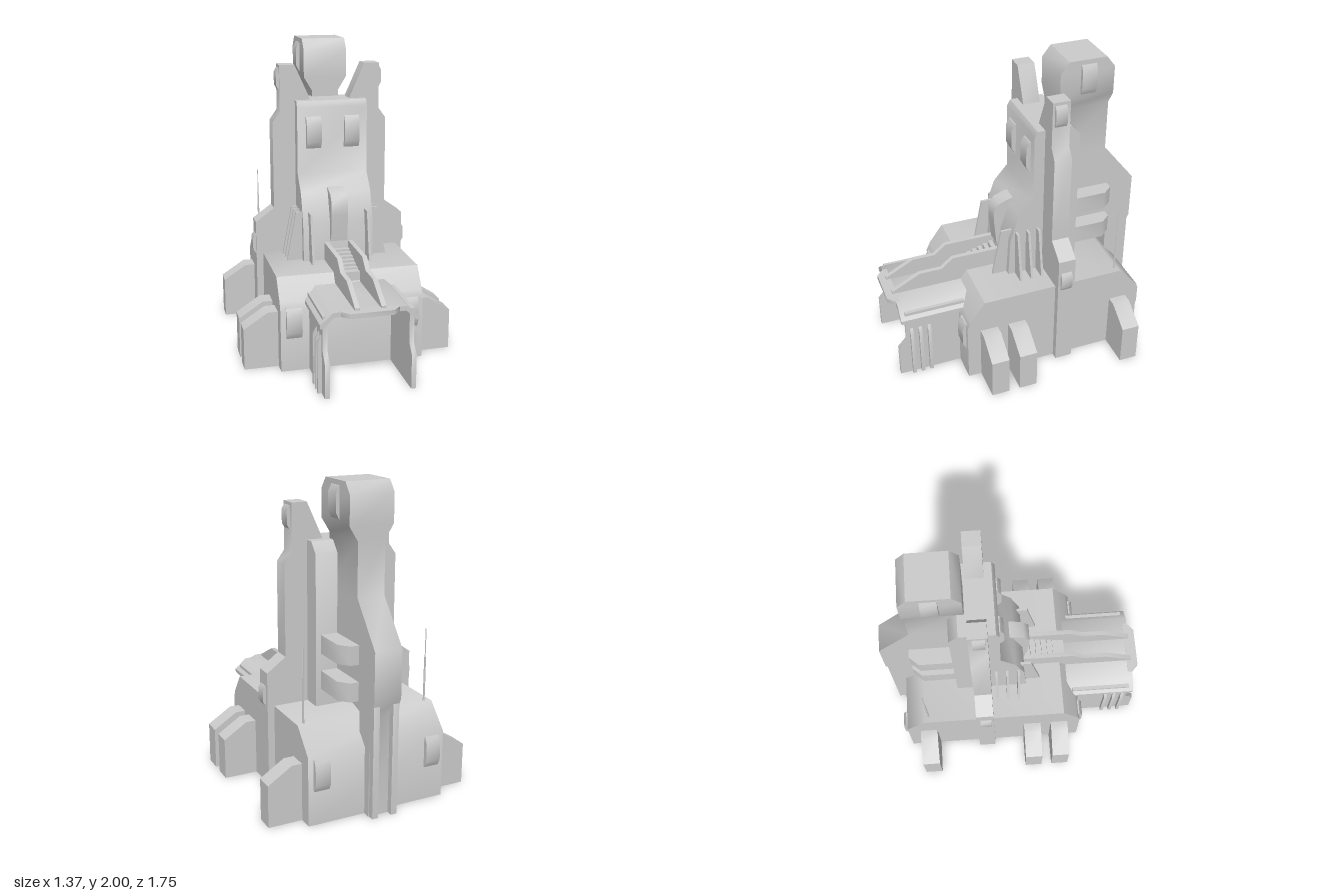
import * as THREE from 'three';
import { toCreasedNormals } from 'three/addons/utils/BufferGeometryUtils.js';

const grey = new THREE.MeshStandardMaterial({ color: 0xcccccc, side: THREE.DoubleSide });

export function createModel() {
  const model = new THREE.Group();

  const add = (name, geo) => {
    const mesh = new THREE.Mesh(toCreasedNormals(geo, 0.85), grey);
    mesh.name = name;
    model.add(mesh);
    return mesh;
  };
  const extrude = (pts, depth) => {
    const shape = new THREE.Shape(pts.map(([a, b]) => new THREE.Vector2(a, b)));
    return new THREE.ExtrudeGeometry(shape, { depth, bevelEnabled: false }).translate(0, 0, -depth / 2);
  };
  // (z, y) profile extruded across x
  const acrossX = (name, pts, x, width) => add(name, extrude(pts, width).rotateY(-Math.PI / 2).translate(x, 0, 0));
  // (x, y) profile extruded between two z values
  const alongZ = (name, pts, z0, z1) => add(name, extrude(pts, z1 - z0).translate(0, 0, (z0 + z1) / 2));
  const flip = (pts, s) => pts.map(([x, y]) => [x * s, y]);
  const box = (name, x0, x1, y0, y1, z0, z1) =>
    add(name, new THREE.BoxGeometry(Math.abs(x1 - x0), y1 - y0, z1 - z0)
      .translate((x0 + x1) / 2, (y0 + y1) / 2, (z0 + z1) / 2));
  // bulging panel: a face at "wall" pushed out to "out", tapered at both ends
  const bulge = (wall, out, y0, y1) => {
    const t = (y1 - y0) * 0.2, mid = wall + (out - wall) * 0.5;
    return [[wall, y0], [mid, y0], [out, y0 + t], [out, y1 - t], [mid, y1], [wall, y1]];
  };
  // drop the faces that lie on the ground, leaving a hollow shell
  const openBottom = (mesh) => {
    const p = mesh.geometry.attributes.position, keep = [];
    for (let i = 0; i < p.count; i += 3) {
      if (p.getY(i) + p.getY(i + 1) + p.getY(i + 2) > 0.001) keep.push(i, i + 1, i + 2);
    }
    mesh.geometry.setIndex(keep);
  };
  // rectangular sections [y, halfWidth, zFront, zBack] joined from bottom to top
  const loft = (name, rows) => {
    const pos = [], idx = [], n = rows.length;
    for (const [y, w, f, b] of rows) pos.push(-w, y, f, w, y, f, w, y, b, -w, y, b);
    for (let i = 0; i < n - 1; i++) {
      for (let k = 0; k < 4; k++) {
        const a = i * 4 + k, b = i * 4 + (k + 1) % 4;
        idx.push(a, b, b + 4, a, b + 4, a + 4);
      }
    }
    const t = (n - 1) * 4;
    idx.push(t, t + 1, t + 2, t, t + 2, t + 3, 0, 2, 1, 0, 3, 2);
    const geo = new THREE.BufferGeometry();
    geo.setAttribute('position', new THREE.Float32BufferAttribute(pos, 3));
    geo.setIndex(idx);
    geo.computeVertexNormals();
    return add(name, geo);
  };

  // Hollow main hall
  openBottom(acrossX('baseHall', [[0.44, 0], [0.44, 0.4], [0.415, 0.46], [0.32, 0.59],
    [-0.63, 0.59], [-0.77, 0.44], [-0.775, 0]], 0, 0.93));

  // Front tower with flared foot
  acrossX('frontTower', [[0.075, 0.57], [0.06, 0.85], [0.0, 1.03], [-0.095, 1.14], [-0.095, 1.58],
    [-0.115, 1.62], [-0.34, 1.62], [-0.4, 1.55], [-0.4, 0.57]], 0, 0.47);
  acrossX('centreWindow', [[-0.04, 1.06], [-0.01, 1.06], [0.07, 1.03], [0.107, 0.98], [0.107, 0.9],
    [0.09, 0.72], [0.0, 0.72]], 0, 0.11);

  // Rear tower with wide head
  loft('rearTower', [[0, 0.09, -0.7, -0.825], [0.64, 0.09, -0.7, -0.825], [0.75, 0.09, -0.295, -0.875],
    [1.06, 0.09, -0.295, -0.875], [1.33, 0.09, -0.295, -0.655], [1.66, 0.09, -0.295, -0.655],
    [1.75, 0.145, -0.295, -0.655], [1.93, 0.145, -0.295, -0.655], [2, 0.145, -0.35, -0.6]]);

  // Tanks wrapping the rear tower
  for (const y of [0.7, 0.93]) {
    const plan = [[-0.2, 0.38], [0.2, 0.38], [0.2, 0.62], [0.145, 0.685], [-0.145, 0.685], [-0.2, 0.62]];
    add('rearTank', extrude(plan, 0.12).rotateX(-Math.PI / 2).translate(0, y + 0.06, 0));
  }

  // Covered entrance: arched roof slab, lip, centre stairs
  alongZ('entranceRoof', [[-0.305, 0.435], [-0.29, 0.435], [-0.22, 0.5], [0.22, 0.5], [0.29, 0.435],
    [0.305, 0.435], [0.305, 0.46], [0.225, 0.53], [-0.225, 0.53], [-0.305, 0.46]], 0.32, 0.83);
  add('roofLip', extrude([[-0.18, -0.8], [-0.18, -0.83], [-0.13, -0.875], [0.13, -0.875], [0.18, -0.83],
    [0.18, -0.8]], 0.03).rotateX(-Math.PI / 2).translate(0, 0.516, 0));
  for (let i = 0; i < 7; i++) {
    box('stairStep', -0.07, 0.07, 0.53, 0.665 - i * 0.012, 0.08 + i * 0.04, 0.11 + i * 0.04);
  }
  box('stairBed', -0.07, 0.07, 0.53, 0.595, 0.06, 0.36);

  for (const s of [-1, 1]) {
    // Transverse wing wall
    alongZ('wingWall', flip([[0.42, 0], [0.51, 0], [0.51, 0.81], [0.385, 0.9], [0.385, 1.48], [0.335, 1.55],
      [0.335, 1.85], [0.235, 1.85], [0.135, 1.63], [0.135, 0.55], [0.42, 0.55]], s), -0.28, -0.165);
    alongZ('wingLowerPod', flip(bulge(0.5, 0.53, 0.59, 0.72), s), -0.255, -0.18);
    alongZ('wingUpperPod', flip(bulge(0.325, 0.355, 1.69, 1.83), s), -0.255, -0.18);
    alongZ('headPod', flip(bulge(0.13, 0.168, 1.775, 1.97), s), -0.53, -0.43);

    // Side buttresses
    for (const z of [0.235, 0.045, -0.685]) {
      alongZ('buttress', flip([[0.45, 0], [0.685, 0], [0.685, 0.27], [0.53, 0.37], [0.45, 0.37]], s), z, z + 0.118);
    }

    // Bulging windows
    acrossX('towerWindow', bulge(-0.11, -0.065, 1.31, 1.52), s * 0.128, 0.1);
    acrossX('frontWindow', bulge(0.42, 0.463, 0.22, 0.42), s * 0.38, 0.1);
    acrossX('backWindow', bulge(-0.76, -0.8, 0.22, 0.42), s * 0.38, 0.1);

    // Ribs around the front tower's foot
    for (const z of [0.02, -0.055, -0.127]) {
      alongZ('sideRib', flip([[0.22, 0.57], [0.342, 0.57], [0.335, 0.6], [0.275, 0.915], [0.22, 0.915]], s),
        z - 0.008, z + 0.008);
    }
    acrossX('frontRib', [[-0.02, 0.57], [0.175, 0.57], [0.17, 0.6], [0.11, 0.915], [-0.02, 0.915]], s * 0.19, 0.016);

    // Rear pillars
    acrossX('rearPillar', [[-0.8, 0], [-0.865, 0], [-0.865, 0.71], [-0.84, 0.76], [-0.8, 0.76]], s * 0.065, 0.04);

    // Entrance walls with outer ribs
    acrossX('entranceWall', [[0.4, 0], [0.855, 0], [0.855, 0.22], [0.8, 0.28], [0.8, 0.5], [0.4, 0.5]], s * 0.268, 0.03);
    for (const z of [0.765, 0.707, 0.647]) {
      alongZ('entranceRib', flip([[0.27, 0], [0.308, 0], [0.308, 0.33], [0.285, 0.37], [0.27, 0.37]], s),
        z - 0.011, z + 0.011);
    }

    // Sloping rails beside the stairs
    acrossX('stairRail', [[0.83, 0.5], [0.83, 0.545], [0.64, 0.645], [0.49, 0.645], [0.41, 0.71], [0.05, 0.71],
      [0.05, 0.57], [0.3, 0.57], [0.42, 0.5]], s * 0.081, 0.03);

    // Antennas
    add('antennaBase', new THREE.CylinderGeometry(0.006, 0.006, 0.3, 6).translate(s * 0.42, 0.73, -0.61));
    add('antennaTip', new THREE.CylinderGeometry(0.003, 0.003, 0.2, 6).translate(s * 0.42, 0.965, -0.61));
  }
  return model;
}
